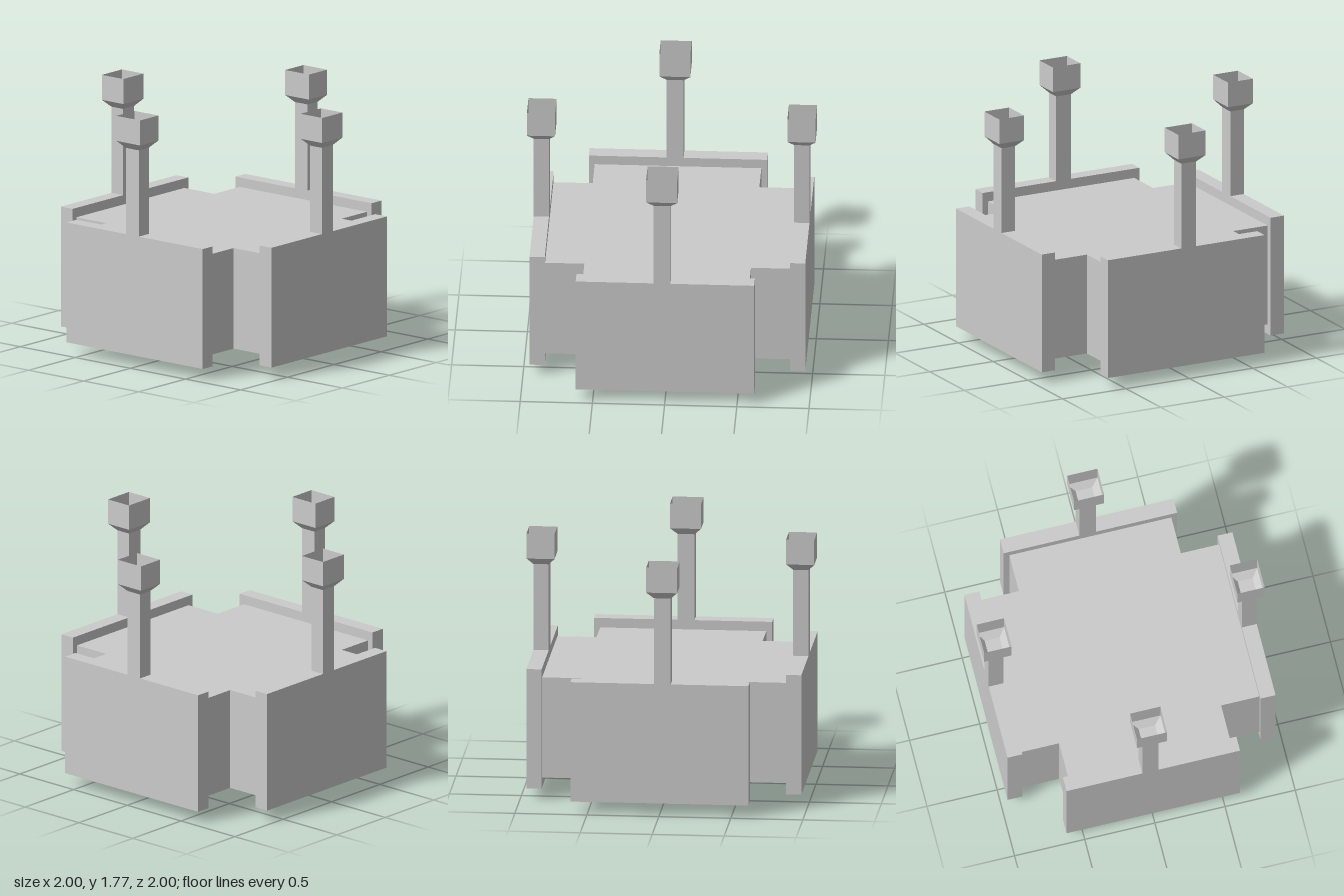
import * as THREE from 'three';

const grey = new THREE.MeshStandardMaterial({ color: 0xcccccc, flatShading: true });
const thin = new THREE.MeshStandardMaterial({ color: 0xcccccc, flatShading: true, side: THREE.DoubleSide });

function add(parent, name, geometry, material = grey) {
  const mesh = new THREE.Mesh(geometry, material);
  mesh.name = name;
  parent.add(mesh);
  return mesh;
}

function box(parent, name, w, d, y0, y1, x, z) {
  return add(parent, name, new THREE.BoxGeometry(w, y1 - y0, d).translate(x, (y0 + y1) / 2, z));
}

// Open four-sided sleeve; top and bottom are fractions of the full w x d section
function sleeve(parent, name, w, d, bottom, top, y0, y1, x, z) {
  const r = Math.SQRT1_2;
  const g = new THREE.CylinderGeometry(top * r, bottom * r, y1 - y0, 4, 1, true);
  g.rotateY(Math.PI / 4).scale(w, 1, d).translate(x, (y0 + y1) / 2, z);
  return add(parent, name, g, thin);
}

export function createModel() {
  const model = new THREE.Group();
  model.name = 'crossHousing';

  const inner = 0.577, outer = 0.85, bottom = 0.155, top = 0.87;

  // Cross-shaped body
  const outline = [
    [inner, -outer], [inner, -inner], [outer, -inner], [outer, inner], [inner, inner], [inner, outer],
    [-inner, outer], [-inner, inner], [-outer, inner], [-outer, -inner], [-inner, -inner], [-inner, -outer],
  ].map(([x, y]) => new THREE.Vector2(x, y));
  const bodyGeo = new THREE.ExtrudeGeometry(new THREE.Shape(outline), { depth: top - bottom, bevelEnabled: false });
  bodyGeo.rotateX(-Math.PI / 2).translate(0, bottom, 0);
  add(model, 'body', bodyGeo);

  // Shallow pyramid beneath, with its tip a little off centre
  const h = bottom;
  const tip = new THREE.ConeGeometry(inner * Math.SQRT2, h, 4, 1, true);
  tip.rotateY(Math.PI / 4).rotateX(Math.PI).translate(0, h / 2, 0);
  const p = tip.attributes.position;
  for (let i = 0; i < p.count; i++) {
    if (p.getY(i) < h / 2) p.setXYZ(i, -0.015, 0.003, 0.02);
  }
  add(model, 'undersidePyramid', tip);

  // Four side units: panel, post and open box on top
  const sides = [['front', 0, -0.02], ['left', Math.PI / 2, -0.02], ['back', Math.PI, 0.02], ['right', -Math.PI / 2, 0.02]];
  for (const [name, angle, x] of sides) {
    const unit = new THREE.Group();
    unit.name = name + 'Unit';
    unit.rotation.y = angle;
    const z = 0.902;
    box(unit, 'panel', 1.236, 0.106, 0.085, 0.937, 0, z);
    box(unit, 'post', 0.117, 0.106, 0.937, 1.55, x, z);
    sleeve(unit, 'boxFunnel', 0.215, 0.195, 0.544, 1, 1.55, 1.6, x, z);
    sleeve(unit, 'boxWalls', 0.215, 0.195, 1, 1, 1.6, 1.778, x, z);
    model.add(unit);
  }
  return model;
}
